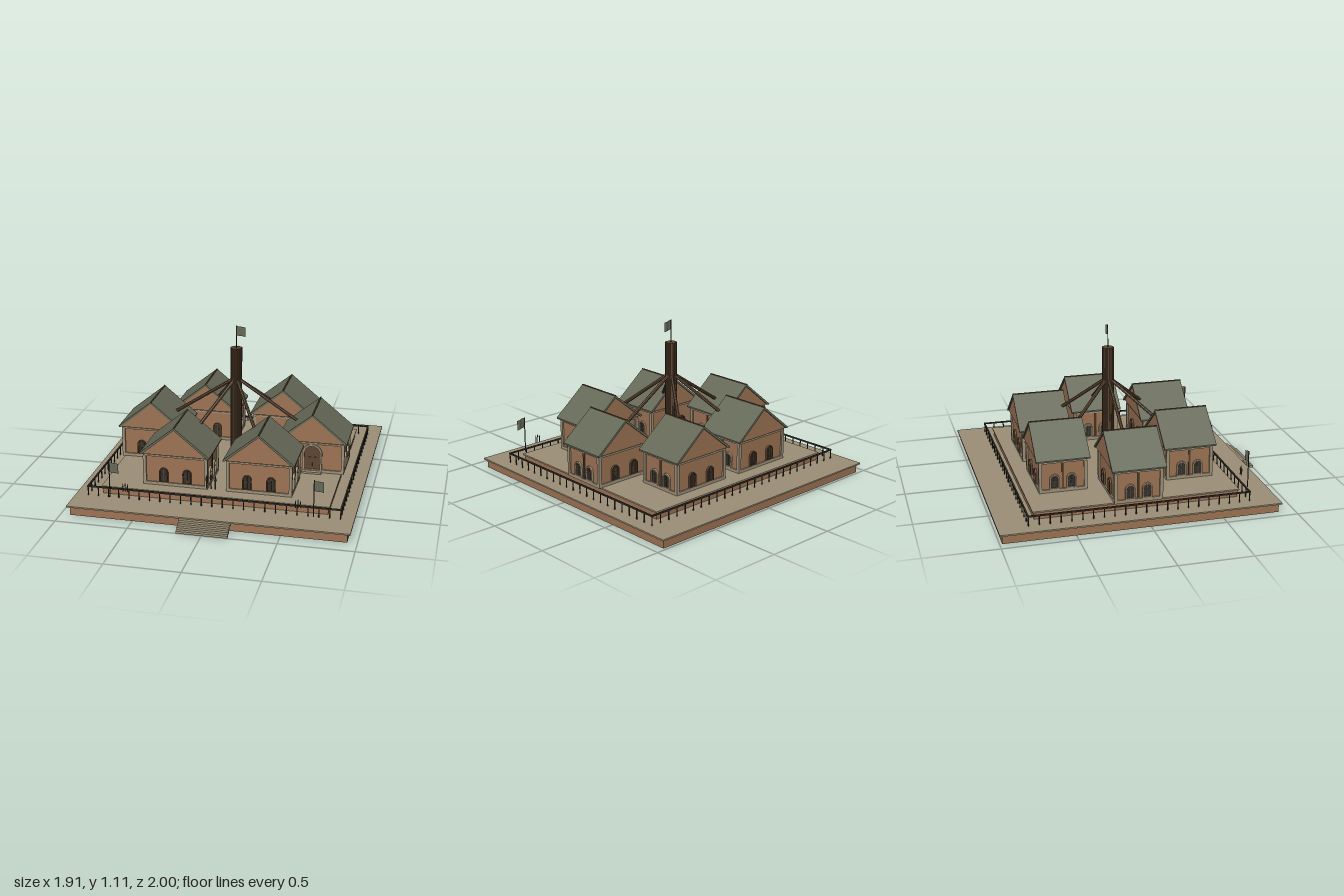
import * as THREE from 'three';

const mat = (color, side = THREE.FrontSide) => new THREE.MeshStandardMaterial({ color, side, flatShading: true });
const brick = mat(0x9c7354), stone = mat(0x9c8f77), roofing = mat(0x666a58);
const wood = mat(0x5c4530), dark = mat(0x35302a), cloth = mat(0x666a58, THREE.DoubleSide);

function add(parent, name, geo, material, x = 0, y = 0, z = 0) {
  const m = new THREE.Mesh(geo, material);
  m.name = name;
  m.position.set(x, y, z);
  parent.add(m);
  return m;
}

// Box given by its centre in x and z and its bottom and top heights
function slab(parent, name, w, d, y0, y1, material, x = 0, z = 0) {
  return add(parent, name, new THREE.BoxGeometry(w, y1 - y0, d), material, x, (y0 + y1) / 2, z);
}

function post(parent, name, r, y0, y1, material, x = 0, z = 0, sides = 6) {
  return add(parent, name, new THREE.CylinderGeometry(r, r, y1 - y0, sides), material, x, (y0 + y1) / 2, z);
}

// Straight round beam between two points
function beam(parent, name, a, b, r, material) {
  const dir = b.clone().sub(a);
  const m = add(parent, name, new THREE.CylinderGeometry(r, r, dir.length(), 8), material);
  m.position.copy(a).add(b).multiplyScalar(0.5);
  m.quaternion.setFromUnitVectors(new THREE.Vector3(0, 1, 0), dir.normalize());
}

// Round-headed outline standing on y = y0
function trace(path, w, h, y0 = 0) {
  path.moveTo(-w / 2, y0);
  path.lineTo(w / 2, y0);
  path.lineTo(w / 2, h - w / 2);
  path.absarc(0, h - w / 2, w / 2, 0, Math.PI, false);
  path.lineTo(-w / 2, y0);
  return path;
}

const extrude = (shape, depth) => new THREE.ExtrudeGeometry(shape, { depth, bevelEnabled: false, curveSegments: 10 });

// Arched opening: raised frame, recessed pane and glazing bars
function arch(parent, name, x, y, z, w, h, border, frameMat, paneMat) {
  const g = new THREE.Group();
  g.name = name;
  g.position.set(x, y, z);
  parent.add(g);
  const frame = trace(new THREE.Shape(), w, h);
  frame.holes.push(trace(new THREE.Path(), w - 2 * border, h - border, border * 0.6));
  add(g, name + 'Frame', extrude(frame, 0.014), frameMat);
  add(g, name + 'Pane', extrude(trace(new THREE.Shape(), w - border, h - border / 2, border / 3), 0.004), paneMat);
  slab(g, name + 'Mullion', 0.004, 0.008, border / 2, h - border, wood, 0, 0.004);
  slab(g, name + 'Crossbar', w - border * 2, 0.008, h * 0.5, h * 0.5 + 0.004, wood, 0, 0.004);
}

function house(parent, x, z, hasDoor) {
  const g = new THREE.Group();
  g.name = 'house';
  g.position.set(x, 0, z);
  parent.add(g);
  const hw = 0.215, hd = 0.155;
  slab(g, 'walls', hw * 2, hd * 2, 0.125, 0.36, brick);
  slab(g, 'plinth', hw * 2 + 0.02, hd * 2 + 0.02, 0.125, 0.148, stone);
  slab(g, 'cornice', hw * 2 + 0.02, hd * 2 + 0.02, 0.335, 0.347, stone);
  for (const sx of [-1, 1]) for (const sz of [-1, 1])
    slab(g, 'cornerPilaster', 0.022, 0.022, 0.148, 0.335, stone, sx * hw, sz * hd);

  // Four facades, each built facing +z and turned into place
  for (let i = 0; i < 4; i++) {
    const f = new THREE.Group(), gableSide = i % 2 === 0;
    f.name = 'facade';
    f.rotation.y = i * Math.PI / 2;
    g.add(f);
    const out = gableSide ? hd : hw;
    if (i === 0 && hasDoor) {
      arch(f, 'door', 0, 0.135, out, 0.14, 0.2, 0.014, stone, wood);
      slab(f, 'doorstep', 0.14, 0.04, 0.125, 0.14, stone, 0, out + 0.025);
    } else {
      for (const s of [-1, 1])
        arch(f, 'window', s * (gableSide ? 0.082 : 0.058), 0.15, out, gableSide ? 0.062 : 0.068, 0.104,
          gableSide ? 0.007 : 0.01, gableSide ? wood : stone, dark);
    }
    if (!gableSide) slab(f, 'timberPost', 0.014, 0.014, 0.148, 0.335, wood, 0, out);
  }

  // Brick gable prism under a thin folded roof
  const gable = new THREE.Shape([[-0.232, 0.354], [0.232, 0.354], [0, 0.546]].map(p => new THREE.Vector2(...p)));
  add(g, 'gable', extrude(gable, 0.352), brick, 0, 0, -0.176);
  const fold = new THREE.Shape([[-0.243, 0.352], [-0.23, 0.352], [0, 0.543], [0.23, 0.352], [0.243, 0.352],
    [0.243, 0.362], [0, 0.56], [-0.243, 0.362]].map(p => new THREE.Vector2(...p)));
  add(g, 'roof', extrude(fold, 0.37), roofing, 0, 0, -0.185);
  slab(g, 'ridge', 0.008, 0.372, 0.553, 0.562, wood);
}

// Pole with a sagging, slightly sheared banner
function flag(parent, x, y0, y1, z, h) {
  post(parent, 'flagPole', 0.0035, y0, y1, dark, x, z);
  const geo = new THREE.PlaneGeometry(0.064, h, 6, 1), p = geo.attributes.position;
  for (let i = 0; i < p.count; i++) {
    const t = p.getX(i) / 0.064 + 0.5;
    p.setY(i, p.getY(i) - 0.01 * t);
    p.setZ(i, 0.004 * Math.sin(t * Math.PI * 2));
  }
  geo.computeVertexNormals();
  add(parent, 'flag', geo, cloth, x + 0.032, y1 - h / 2 - 0.002, z);
}

// Trio of pointed shafts, the middle one tallest
function spears(parent, x, y, z, gap, h, r) {
  for (const i of [-1, 0, 1]) {
    const top = y + h * (i ? 0.85 : 1), head = h * 0.35;
    post(parent, 'spearShaft', r * 0.5, y, top - head, wood, x + i * gap, z);
    add(parent, 'spearHead', new THREE.ConeGeometry(r, head, 6), dark, x + i * gap, top - head / 2, z);
  }
}

export function createModel() {
  const model = new THREE.Group();
  model.name = 'courtyard';
  const yard = new THREE.Group();
  yard.name = 'yard';
  yard.position.z = -0.0475;
  model.add(yard);

  // Two-tier terrace
  slab(yard, 'terraceBase', 1.87, 1.87, 0, 0.06, brick);
  slab(yard, 'terracePaving', 1.91, 1.905, 0.06, 0.07, stone);
  slab(yard, 'upperTerraceBase', 1.55, 1.395, 0.07, 0.117, brick);
  slab(yard, 'upperTerracePaving', 1.57, 1.415, 0.117, 0.127, stone);

  // Front steps
  for (let i = 0; i < 4; i++)
    slab(model, 'step', 0.345, 0.028, i * 0.015, i * 0.015 + 0.016, stone, 0, 0.986 - i * 0.0235);

  // Railing around the upper terrace
  const rx = 0.865, rz = 0.752;
  for (const s of [-1, 1]) {
    slab(yard, 'rail', rx * 2 + 0.01, 0.01, 0.132, 0.142, dark, 0, s * rz);
    slab(yard, 'rail', 0.01, rz * 2 + 0.01, 0.132, 0.142, dark, s * rx, 0);
    for (let i = 0; i <= 24; i++)
      post(yard, 'railPost', 0.004, 0.07, 0.135, dark, -rx + i * rx / 12, s * rz);
    for (let i = 1; i < 21; i++)
      post(yard, 'railPost', 0.004, 0.07, 0.135, dark, s * rx, -rz + i * rz * 2 / 21);
  }

  // Central mast with ribs and flag
  post(yard, 'mast', 0.037, 0.125, 0.95, wood, 0, 0, 12);
  for (let i = 0; i < 12; i++) {
    const a = (i + 0.5) * Math.PI / 6;
    post(yard, 'mastRib', 0.006, 0.125, 0.95, wood, 0.036 * Math.cos(a), 0.036 * Math.sin(a));
  }
  flag(yard, 0, 0.95, 1.11, 0, 0.068);

  // Ring of six houses, each tied to the mast by a beam
  for (const s of [-1, 1]) for (const row of [-1, 0, 1]) {
    house(yard, s * (row ? 0.29 : 0.578), row * 0.4435, row === 0 && s === 1);
    const end = row ? new THREE.Vector3(s * 0.2, 0.46, row * 0.3) : new THREE.Vector3(s * 0.44, 0.44, 0);
    beam(yard, 'beam', new THREE.Vector3(0, 0.73, 0), end, 0.012, wood);
  }

  // Banners and spears along the front
  for (const s of [-1, 1]) {
    flag(model, s * 0.693, 0.095, 0.355, 0.755, 0.072);
    spears(model, s * 0.588, 0.14, 0.745, 0.016, 0.07, 0.005);
  }
  spears(model, 0, 0.21, 0.722, 0.03, 0.12, 0.01);
  return model;
}
